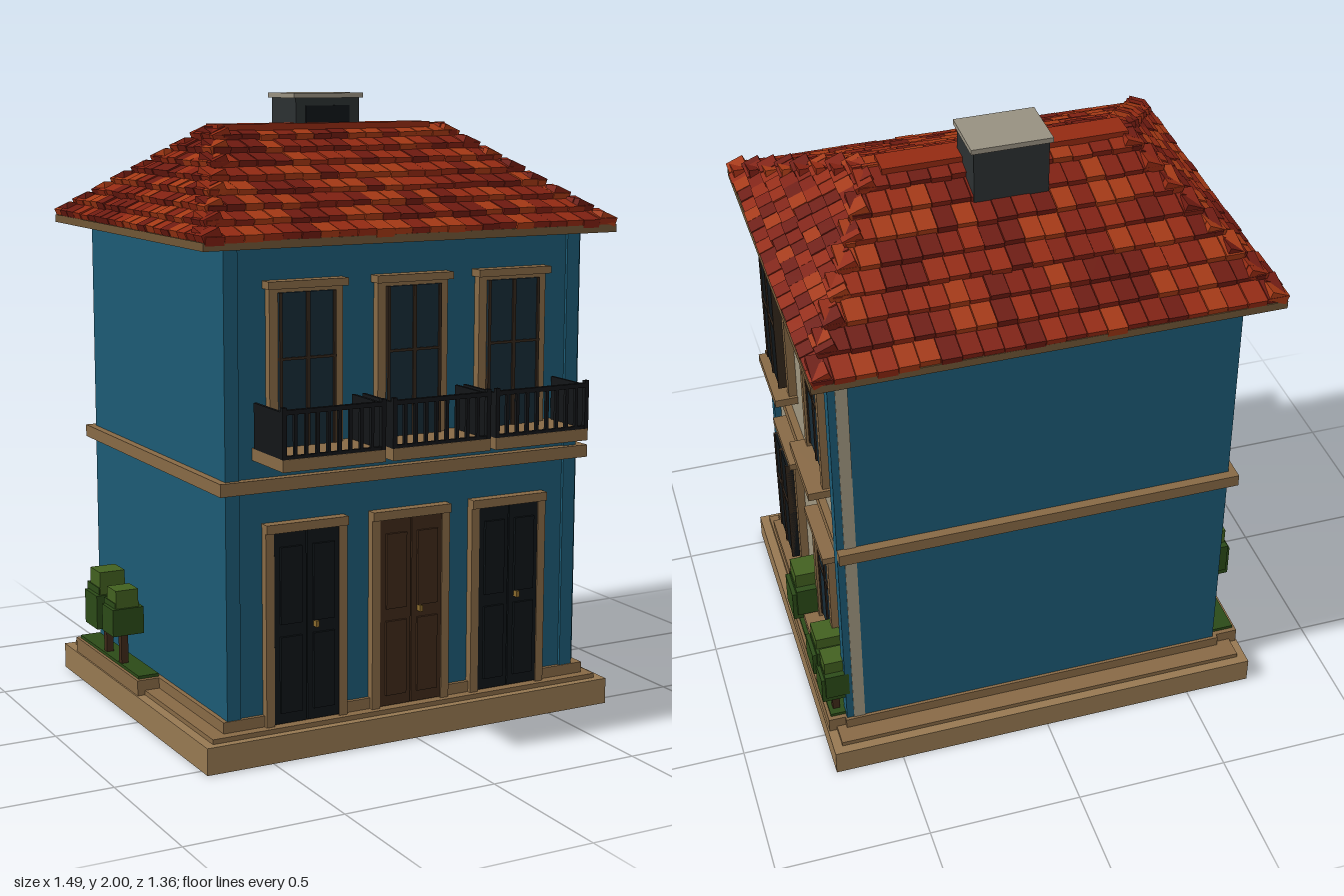
import * as THREE from 'three';
import { mergeGeometries } from 'three/addons/utils/BufferGeometryUtils.js';
import { ConvexGeometry } from 'three/addons/geometries/ConvexGeometry.js';

const mat = (color) => new THREE.MeshStandardMaterial({ color });
const M = {
  blue: mat(0x1c5a74), plaster: mat(0x9e957f), stone: mat(0x876945), base: mat(0x967851),
  iron: mat(0x131517), black: mat(0x0f1518), glass: mat(0x162a36), wood: mat(0x3f2919),
  bar: mat(0x33261b), leaf: mat(0x2b4a17), leafTop: mat(0x42601f), chimney: mat(0x2b3031),
  cap: mat(0x979080), brass: mat(0x8a6a2c), eave: mat(0x6f5535),
};
const TILES = [0x6d1a10, 0x7f2011, 0x932a12, 0xa33814];

// box given by its minimum and maximum corners
function block(parent, name, m, x0, x1, y0, y1, z0, z1) {
  const mesh = new THREE.Mesh(new THREE.BoxGeometry(x1 - x0, y1 - y0, z1 - z0), m);
  mesh.position.set((x0 + x1) / 2, (y0 + y1) / 2, (z0 + z1) / 2);
  mesh.name = name;
  parent.add(mesh);
  return mesh;
}

function group(parent, name, x = 0, y = 0, z = 0, ry = 0) {
  const g = new THREE.Group();
  g.name = name;
  g.position.set(x, y, z);
  g.rotation.y = ry;
  parent.add(g);
  return g;
}

// framed window facing local +z, wall surface at z = 0, glass from y0 to y1
function addWindow(parent, x, z, ry, y0, y1, paneDepth, pane, sill) {
  const g = group(parent, 'window', x, 0, z, ry);
  block(g, 'pane', pane, -0.095, 0.095, y0, y1, -0.01, paneDepth);
  for (const s of [-1, 1]) {
    const c = s * 0.109;
    block(g, 'jamb', M.stone, c - 0.014, c + 0.014, y0 - 0.02, y1 + 0.02, -0.01, 0.027);
    const b = s * 0.09;
    block(g, 'sash', M.bar, b - 0.005, b + 0.005, y0, y1, 0, paneDepth + 0.004);
  }
  block(g, 'head', M.stone, -0.12, 0.12, y1, y1 + 0.02, -0.01, 0.027);
  block(g, 'lintel', M.stone, -0.133, 0.133, y1 + 0.012, y1 + 0.035, -0.01, 0.045);
  if (sill) block(g, 'sill', M.stone, -0.133, 0.133, y0 - 0.045, y0 - 0.018, -0.01, 0.075);
  const yb = y0 + (y1 - y0) * 0.58;
  block(g, 'mullion', M.bar, -0.006, 0.006, y0, y1, 0, paneDepth + 0.005);
  block(g, 'transom', M.bar, -0.095, 0.095, yb - 0.004, yb + 0.004, 0, paneDepth + 0.005);
}

// double door with panels, stone frame and knob
function addDoor(parent, x, m) {
  const g = group(parent, 'door', x, 0, 0.475);
  for (const s of [-1, 1]) {
    const c = s * 0.125, l = s * 0.056;
    block(g, 'jamb', M.stone, c - 0.014, c + 0.014, 0.1, 0.72, -0.01, 0.027);
    block(g, 'leaf', m, l - 0.054, l + 0.054, 0.105, 0.71, -0.01, 0.025);
    block(g, 'upperPanel', m, l - 0.036, l + 0.036, 0.42, 0.66, 0, 0.034);
    block(g, 'lowerPanel', m, l - 0.036, l + 0.036, 0.14, 0.38, 0, 0.034);
  }
  block(g, 'lintel', M.stone, -0.139, 0.139, 0.705, 0.733, -0.01, 0.035);
  block(g, 'knob', M.brass, 0.022, 0.032, 0.4, 0.42, 0.02, 0.045);
}

// slab with iron railing
function addBalcony(parent, x) {
  const g = group(parent, 'balcony', x, 0, 0);
  block(g, 'slab', M.stone, -0.17, 0.17, 0.93, 0.967, 0.46, 0.683);
  block(g, 'topRail', M.iron, -0.17, 0.17, 1.098, 1.112, 0.668, 0.683);
  block(g, 'bottomRail', M.iron, -0.17, 0.17, 0.967, 0.977, 0.67, 0.681);
  for (let i = 0; i < 10; i++) {
    const bx = -0.163 + i * 0.0362;
    block(g, 'baluster', M.iron, bx - 0.005, bx + 0.005, 0.967, 1.105, 0.67, 0.681);
  }
  for (const s of [-1, 1]) {
    block(g, 'sideRailing', M.iron, s * 0.165 - 0.005, s * 0.165 + 0.005, 0.967, 1.106, 0.49, 0.683);
    block(g, 'cornerPost', M.iron, s * 0.164 - 0.007, s * 0.164 + 0.007, 0.967, 1.12, 0.668, 0.683);
  }
}

// blocky shrub: stem, main crown, offset crown and pale top
function addShrub(parent, x, z, y0, y1, w) {
  const g = group(parent, 'shrub', x, 0, z);
  const h = y1 - y0, r = w / 2;
  block(g, 'stem', M.wood, -0.012, 0.012, 0.13, y0 + 0.03, -0.012, 0.012);
  block(g, 'crown', M.leaf, -r * 0.9, r * 0.9, y0, y0 + h * 0.6, -r * 0.8, r * 0.8);
  block(g, 'sideCrown', M.leaf, -r * 0.7, r * 0.7, y0 + h * 0.15, y0 + h * 0.72, -r, r * 0.6);
  block(g, 'crownTop', M.leafTop, -r * 0.65, r * 0.65, y0 + h * 0.45, y1, -r * 0.65, r * 0.65);
}

// hipped roof of overlapping tiles, sorted by colour
function addRoof(parent) {
  const roof = group(parent, 'roof', 0.005, 0, -0.065);
  block(roof, 'eaveBoard', M.eave, -0.72, 0.72, 1.565, 1.59, -0.61, 0.61);
  const pts = [];
  for (const a of [-1, 1]) {
    for (const b of [-1, 1]) pts.push(new THREE.Vector3(a * 0.7, 1.585, b * 0.59));
    pts.push(new THREE.Vector3(a * 0.4, 1.868, 0));
  }
  const core = new THREE.Mesh(new ConvexGeometry(pts), mat(TILES[0]));
  core.name = 'roofCore';
  roof.add(core);

  let seed = 7;
  const rnd = () => (seed = (seed * 16807) % 2147483647) / 2147483647;
  const bins = TILES.map(() => []);
  for (let side = 0; side < 4; side++) {
    const hip = side % 2 === 1;
    for (let row = 0; row < 8; row++) {
      const long = 0.715 - 0.039 * row, deep = 0.612 - 0.075 * row;
      const half = hip ? deep : long, edge = hip ? long + 0.006 : deep;
      const depth = hip ? 0.06 : 0.1, tilt = hip ? 0.4 : 0.25;
      const n = Math.max(2, Math.round((half * 2) / 0.062)), w = (half * 2) / n;
      for (let i = -1; i < n; i++) {
        // odd rows are shifted by half a tile
        const shift = row % 2 ? 0.5 : 0;
        const a = Math.max(-half, -half + (i + shift) * w);
        const b = Math.min(half, -half + (i + 1 + shift) * w);
        if (b - a < 0.01) continue;
        const t = new THREE.BoxGeometry(b - a - 0.002, 0.03, depth);
        t.rotateX(tilt);
        t.translate((a + b) / 2, 1.604 + 0.038 * row + rnd() * 0.005, edge - depth / 2 + rnd() * 0.006 - 0.003);
        t.rotateY((side * Math.PI) / 2);
        bins[Math.floor(rnd() * TILES.length)].push(t);
      }
    }
  }
  bins.forEach((list, i) => {
    const mesh = new THREE.Mesh(mergeGeometries(list), mat(TILES[i]));
    mesh.name = 'roofTiles';
    roof.add(mesh);
  });
  block(roof, 'ridgeCap', mat(TILES[2]), -0.413, 0.36, 1.855, 1.905, -0.045, 0.045);
}

export function createModel() {
  const house = new THREE.Group();
  house.name = 'townHouse';

  // base and steps
  block(house, 'base', M.base, -0.72, 0.725, 0, 0.085, -0.67, 0.545);
  block(house, 'step', M.stone, -0.69, 0.695, 0.085, 0.1, -0.64, 0.52);
  block(house, 'plinth', M.stone, -0.64, 0.665, 0.1, 0.135, -0.58, 0.488);

  // walls
  block(house, 'walls', M.blue, -0.625, 0.625, 0.1, 1.57, -0.57, 0.475);
  block(house, 'plasterWall', M.plaster, 0.6, 0.637, 0.1, 1.57, -0.573, 0.44);
  block(house, 'belt', M.stone, -0.65, 0.66, 0.833, 0.873, -0.6, 0.503);
  for (const s of [-1, 1])
    block(house, 'frontPilaster', M.blue, s * 0.603 - 0.023, s * 0.603 + 0.023, 0.1, 1.57, 0.44, 0.485);
  block(house, 'sidePilaster', M.blue, 0.63, 0.66, 0.1, 1.57, 0.4, 0.44);
  block(house, 'sidePilaster', M.blue, 0.63, 0.66, 0.1, 1.57, -0.57, -0.525);

  // front doors, windows and balconies
  [-0.363, 0.003, 0.363].forEach((x, i) => {
    addDoor(house, x, i === 1 ? M.wood : M.black);
    addWindow(house, x, 0.475, 0, 0.96, 1.43, 0.035, M.glass, false);
    addBalcony(house, x);
  });

  // side windows on both floors
  for (const y of [0.28, 1.02]) {
    addWindow(house, 0.637, 0.178, Math.PI / 2, y, y + 0.41, 0.05, M.black, true);
    addWindow(house, 0.637, -0.305, Math.PI / 2, y, y + 0.41, 0.015, M.glass, true);
  }

  // planters with shrubs
  for (const s of [-1, 1]) {
    const x0 = s > 0 ? 0.63 : -0.715;
    block(house, 'planter', M.stone, x0, x0 + 0.09, 0.085, 0.135, -0.565, -0.01);
    block(house, 'grass', M.leaf, x0 + 0.01, x0 + 0.08, 0.13, 0.145, -0.55, -0.025);
  }
  addShrub(house, 0.685, -0.13, 0.245, 0.43, 0.135);
  addShrub(house, 0.685, -0.425, 0.27, 0.41, 0.13);
  addShrub(house, 0.685, -0.515, 0.22, 0.38, 0.11);
  addShrub(house, -0.685, -0.335, 0.24, 0.43, 0.135);
  addShrub(house, -0.69, -0.19, 0.25, 0.4, 0.12);

  addRoof(house);

  // chimney
  const chimney = group(house, 'chimney');
  block(chimney, 'chimneyStack', M.chimney, -0.115, 0.118, 1.8, 1.986, -0.23, -0.055);
  block(chimney, 'chimneyOpening', M.black, -0.08, 0.08, 1.9, 1.96, -0.08, -0.052);
  block(chimney, 'chimneyCap', M.cap, -0.125, 0.128, 1.984, 2, -0.237, -0.048);
  return house;
}
